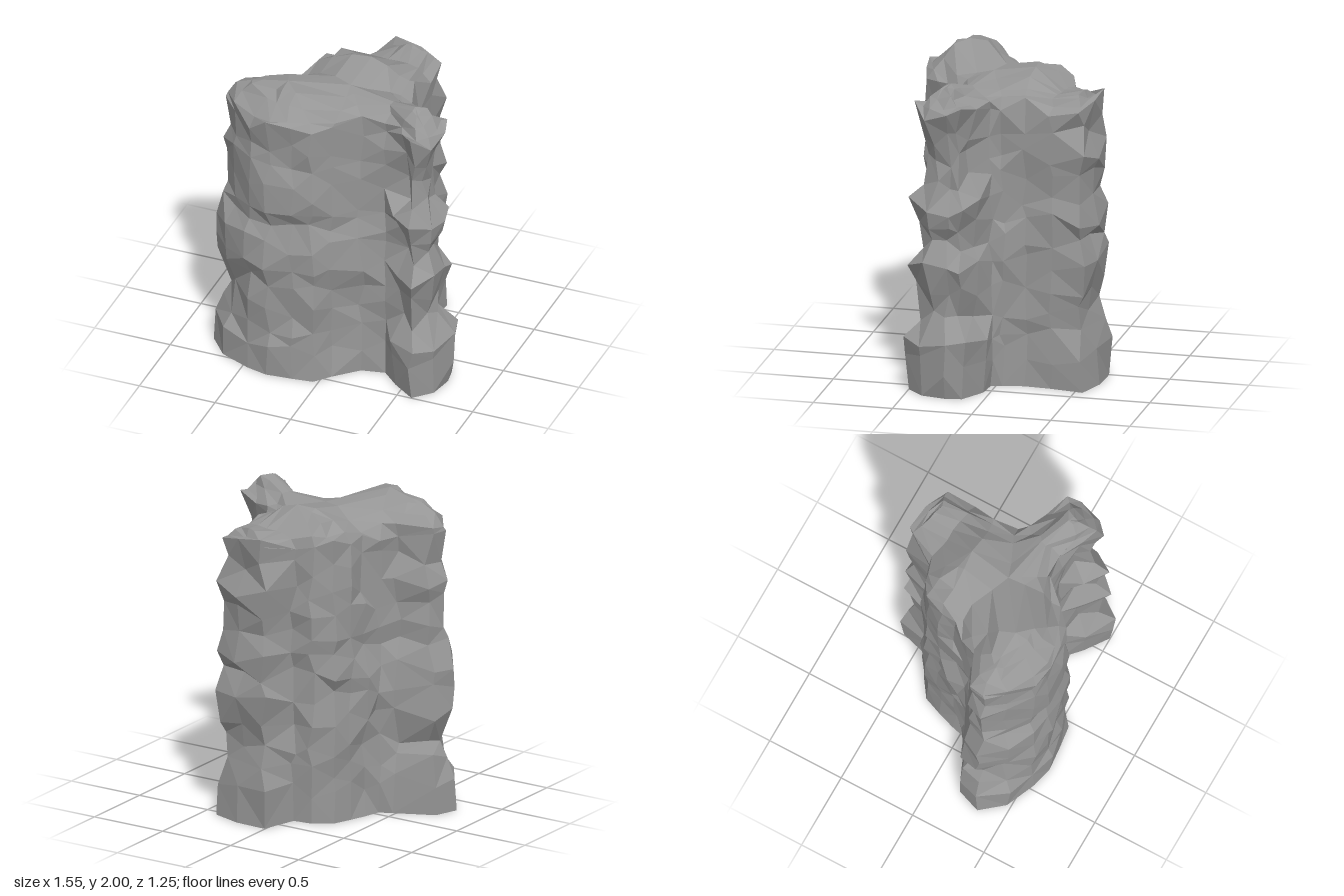
import * as THREE from 'three';

// Spine nodes inside the rock: [x, z, crown height]
const NODES = {
  A: [-0.46, 0.32, 1.96], // left lobe
  D: [-0.29, 0.33, 2.0],
  H: [0.03, 0.1, 1.91],   // hub
  S: [0.34, 0.16, 1.9],
  R: [0.52, 0.25, 1.96],  // right lobe
  C: [0.06, -0.17, 1.96],
  N: [0.16, -0.36, 1.84], // dip before the rear lobe
  B: [0.2, -0.48, 1.87],  // rear lobe
};

// Three-lobed footprint: [x, z, spine node it belongs to]
const OUTLINE = [
  [-0.74, 0.33, 'A'], [-0.63, 0.45, 'A'], [-0.46, 0.55, 'D'], [-0.33, 0.58, 'D'],
  [-0.17, 0.565, 'D'], [-0.04, 0.55, 'D'], [0.05, 0.44, 'H'], [0.18, 0.31, 'H'],
  [0.34, 0.295, 'S'], [0.47, 0.35, 'R'], [0.58, 0.45, 'R'], [0.66, 0.36, 'R'],
  [0.68, 0.24, 'R'], [0.67, 0.16, 'R'], [0.54, 0.09, 'R'], [0.41, 0.03, 'S'],
  [0.365, -0.03, 'H'], [0.36, -0.17, 'C'], [0.37, -0.34, 'N'], [0.375, -0.54, 'B'],
  [0.21, -0.58, 'B'], [0.03, -0.6, 'B'], [-0.06, -0.39, 'N'], [-0.18, -0.375, 'C'],
  [-0.295, -0.295, 'C'], [-0.34, -0.18, 'C'], [-0.36, -0.06, 'H'], [-0.4, 0.04, 'D'],
  [-0.48, 0.11, 'A'], [-0.69, 0.2, 'A'],
];

// Wall levels and how far each lobe swells at that level
const LEVELS = [0, 0.2, 0.34, 0.48, 0.65, 0.8, 0.95, 1.08, 1.2, 1.35, 1.49, 1.64, 1.8];
const SWELL = {
  A: [0.04, 0.04, 0, -0.05, 0.03, 0.02, 0.02, -0.04, -0.04, -0.04, -0.01, -0.06, -0.03],
  D: [0.01, 0.01, 0, 0, 0.01, 0.03, 0.01, -0.02, 0.01, 0.02, -0.01, -0.01, 0.01],
  H: [0.02, 0, 0, 0, 0.02, 0.04, 0.04, 0.01, 0, 0, 0, 0, 0],
  R: [0.05, 0.07, 0.08, -0.02, 0, 0.04, -0.03, -0.01, 0.04, -0.06, -0.06, -0.03, 0.02],
  B: [0.03, 0.03, -0.02, -0.03, -0.02, 0.03, -0.03, 0.03, -0.02, 0, 0.03, -0.04, -0.01],
};

function seeded(seed) {
  return () => {
    seed = (seed * 16807) % 2147483647;
    return (seed / 2147483647) * 2 - 1;
  };
}

// One ring of the footprint, drawn in towards the spine by t
function ring(t, swell, rough, heightOf, rand) {
  return OUTLINE.map(([x, z, key]) => {
    const [nx, nz, top] = NODES[key];
    const dx = x - nx, dz = z - nz;
    const k = (1 - t) * (1 + swell(key) / Math.hypot(dx, dz));
    return new THREE.Vector3(nx + dx * k + rand() * rough, heightOf(top), nz + dz * k + rand() * rough);
  });
}

function rockGeometry() {
  const rand = seeded(4711);
  const rings = [];
  // flat underside
  rings.push(ring(1, () => 0, 0, () => 0, rand));
  // craggy walls
  LEVELS.forEach((y, i) => {
    const swell = (key) => (SWELL[key] ? SWELL[key][i] : 0);
    const rough = i === 0 ? 0 : 0.02;
    rings.push(ring(0, swell, rough, () => (i === 0 ? 0 : y + rand() * 0.055), rand));
  });
  // rounded, uneven crown closing on the spine
  for (const t of [0.13, 0.38, 0.7, 1]) {
    const rough = t < 1 ? 0.02 : 0;
    rings.push(ring(t, () => 0, rough,
      (h) => 1.8 + (h - 1.8) * Math.sin(t * Math.PI / 2) + rand() * rough, rand));
  }

  const positions = [];
  const face = (a, b, c) => {
    const area = new THREE.Triangle(a, b, c).getArea();
    if (area > 1e-6) for (const p of [a, b, c]) positions.push(p.x, p.y, p.z);
  };
  const n = OUTLINE.length;
  for (let r = 0; r < rings.length - 1; r++) {
    for (let i = 0; i < n; i++) {
      const j = (i + 1) % n;
      const a = rings[r][i], b = rings[r][j], c = rings[r + 1][j], d = rings[r + 1][i];
      // shorter diagonal gives irregular facets
      if (a.distanceTo(c) < b.distanceTo(d)) { face(a, b, c); face(a, c, d); }
      else { face(a, b, d); face(b, c, d); }
    }
  }
  const geometry = new THREE.BufferGeometry();
  geometry.setAttribute('position', new THREE.Float32BufferAttribute(positions, 3));
  geometry.computeVertexNormals();
  return geometry;
}

export function createModel() {
  const group = new THREE.Group();
  group.name = 'rockPillar';
  const material = new THREE.MeshStandardMaterial({ color: 0x969696, flatShading: true });
  const rock = new THREE.Mesh(rockGeometry(), material);
  rock.name = 'rock';
  group.add(rock);
  return group;
}
